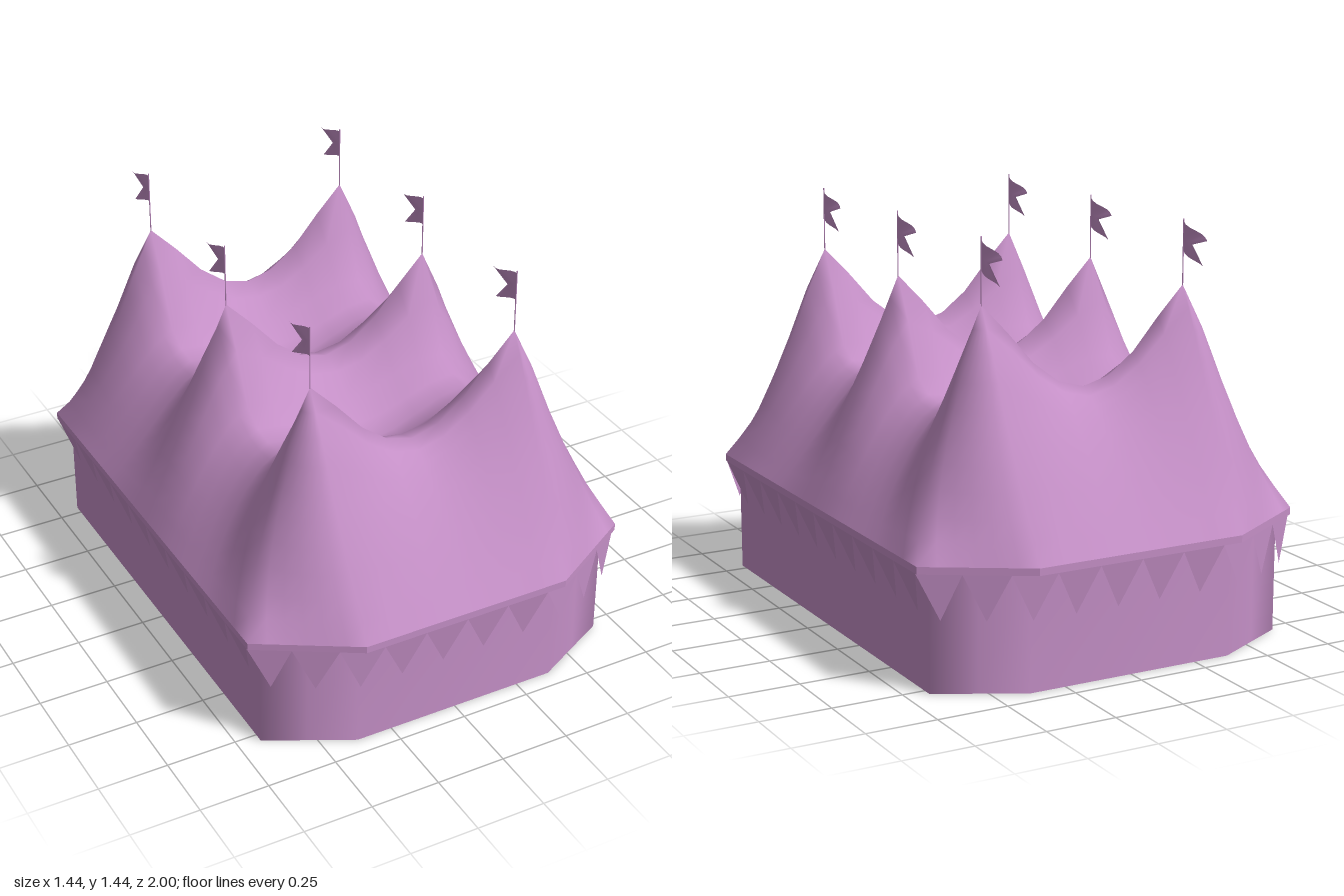
import * as THREE from 'three';
import { mergeVertices } from 'three/addons/utils/BufferGeometryUtils.js';

const PX = 0.385, PZ = 0.61;            // pole positions
const EAVE = 0.44, HEM = 0.415, PEAK = 1.22;
const fabric = new THREE.MeshStandardMaterial({ color: 0xc48fc6, side: THREE.DoubleSide });
const { lerp, clamp } = THREE.MathUtils;

// Linear lookup in an evenly spaced table, s in 0..1
function sample(table, s) {
  const f = clamp(s, 0, 1) * (table.length - 1);
  const i = Math.min(Math.floor(f), table.length - 2);
  return lerp(table[i], table[i + 1], f - i);
}
const frac = (y) => (y - EAVE) / (PEAK - EAVE);
const SAG_X = [1.22, 1.12, 1.01, 0.937, 0.91].map(frac);   // pole to middle, across
const SAG_Z = [1.22, 1.07, 0.89, 0.845, 0.835].map(frac);  // pole to middle, lengthwise
const STEEP = [1, 0.81, 0.58, 0.375, 0.175, 0];            // peak to eave
const ROUND = [1, 0.89, 0.71, 0.49, 0.25, 0];              // sagging ridge to eave

// Sharp at the poles, softening to a rounded fold away from them
function sag(table, s, soft) {
  const rounded = lerp(1, table[4], (1 - Math.cos(Math.PI * s)) / 2);
  return lerp(sample(table, s), rounded, soft);
}

// Height of the canvas inside the rectangle of poles
function canvasHeight(x, z) {
  const sx = 1 - Math.abs(x) / PX;
  const sz = Math.min(Math.abs(z), PZ - Math.abs(z)) / (PZ / 2);
  const a = sag(SAG_X, sx, sz), b = sag(SAG_Z, sz, sx);
  return EAVE + (PEAK - EAVE) * (a * b + 0.3 * (1 - a) * (1 - b));
}

// Triangles between successive rows of [x, y, z] points
function loft(rows) {
  const out = [];
  for (let r = 0; r < rows.length - 1; r++) {
    const lo = rows[r], hi = rows[r + 1];
    for (let i = 0; i < lo.length - 1; i++) {
      out.push(...lo[i], ...lo[i + 1], ...hi[i + 1], ...lo[i], ...hi[i + 1], ...hi[i]);
    }
  }
  return out;
}

function surface(name, positions, smooth) {
  let geo = new THREE.BufferGeometry();
  geo.setAttribute('position', new THREE.Float32BufferAttribute(positions, 3));
  if (smooth) geo = mergeVertices(geo, 1e-4);
  geo.computeVertexNormals();
  const mesh = new THREE.Mesh(geo, fabric);
  mesh.name = name;
  return mesh;
}

// Closed outline from one quarter, running from the front towards +x
function outline(quarter) {
  const back = [...quarter].reverse();
  const pts = [
    ...quarter, ...back.map(([x, z]) => [x, -z]),
    ...quarter.map(([x, z]) => [-x, -z]), ...back.map(([x, z]) => [-x, z]),
  ];
  return [...pts, pts[0]];
}
const at = (pts, y) => pts.map(([x, z]) => [x, y, z]);
const RIM = outline([[PX, 1], [0.72, 0.8]]);

function makeRoof() {
  const xs = Array.from({ length: 9 }, (_, i) => (i - 4) / 4);
  const zs = Array.from({ length: 17 }, (_, i) => (8 - i) / 8);
  // Sagging middle between the poles
  const middle = zs.map((v) => xs.map((u) => [u * PX, canvasHeight(u * PX, v * PZ), v * PZ]));

  // Spokes from ridge to eave: [ridge x, z, rounded target x, z, eave x, z]
  const spokes = [];
  const corner = (sx, sz, flip) => {
    for (let k = 0; k <= 6; k++) {
      const t = (flip ? 6 - k : k) / 6, angle = t * Math.PI / 2;
      spokes.push([
        sx * PX, sz * PZ,
        sx * (PX + 0.335 * Math.sin(angle)), sz * (PZ + 0.39 * Math.cos(angle)),
        sx * lerp(PX, 0.72, t), sz * lerp(1, 0.8, t),
      ]);
    }
  };
  const end = (s) => xs.forEach((u) => {
    spokes.push([s * u * PX, s * PZ, s * u * PX, s, s * u * PX, s]);
  });
  const side = (s) => zs.forEach((v) => {
    spokes.push([s * PX, s * v * PZ, s * 0.72, s * v * PZ, s * 0.72, s * v * 0.8]);
  });
  end(1); corner(1, 1, false); side(1); corner(1, -1, true);
  end(-1); corner(-1, -1, false); side(-1); corner(-1, 1, true);
  spokes.push(spokes[0]);

  // Sloping skirt from the eave up to the ridge, rounded corners easing into the eave
  const skirt = [];
  for (let k = 10; k >= 0; k--) {
    const t = k / 10;
    skirt.push(spokes.map(([x, z, rx, rz, ex, ez]) => {
      const h = canvasHeight(x, z);
      const soft = clamp((1 - frac(h)) / 0.4, 0, 1);
      const slope = lerp(sample(STEEP, t), sample(ROUND, t), soft);
      return [
        lerp(x, lerp(rx, ex, t * t), t),
        EAVE + (h - EAVE) * slope,
        lerp(z, lerp(rz, ez, t * t), t),
      ];
    }));
  }
  const roof = surface('roofCanvas', [...loft(middle), ...loft(skirt)], true);

  // Peak tips face straight up
  const { position, normal } = roof.geometry.attributes;
  for (let i = 0; i < position.count; i++) {
    if (position.getY(i) > PEAK - 0.001) normal.setXYZ(i, 0, 1, 0);
  }
  return roof;
}

// Triangular bunting evenly spaced along the rim, hanging slightly inwards
function makeBunting() {
  const path = new THREE.CurvePath();
  const start = [[0, 1], ...RIM.slice(0, -1), [0, 1]].map(([x, z]) => new THREE.Vector2(x, z));
  for (let i = 0; i < start.length - 1; i++) path.add(new THREE.LineCurve(start[i], start[i + 1]));
  const inset = (v, from, to, d) => v - Math.sign(v) * d * clamp((Math.abs(v) - from) / (to - from), 0, 1);
  const count = 40, out = [];
  for (let i = 0; i < count; i++) {
    const a = path.getPoint(i / count), b = path.getPoint((i + 1) / count);
    const tip = path.getPoint((i + 0.5) / count);
    out.push(
      a.x, HEM, a.y,
      inset(tip.x, 0.65, 0.72, 0.048), 0.26, inset(tip.y, 0.9, 1, 0.022),
      b.x, HEM, b.y,
    );
  }
  return surface('bunting', out, false);
}

// Pole with a wavy swallow-tailed flag trailing to the back
function makeFlag() {
  const group = new THREE.Group();
  const pole = new THREE.Mesh(new THREE.CylinderGeometry(0.002, 0.002, 0.265, 6), fabric);
  pole.name = 'flagPole';
  pole.position.y = 1.3125;
  const wave = (d) => 0.008 * Math.sin(d * 45);
  const upper = [], lower = [];
  for (let i = 0; i <= 6; i++) {
    const t = i / 6, notch = 0.06 * t;
    const du = 0.15 * t, dl = 0.11 * t;
    upper.push([[wave(notch), 1.39 - 0.025 * t, -notch], [wave(du), 1.435 - 0.045 * t, -du]]);
    lower.push([[wave(dl), 1.335 - 0.037 * t, -dl], [wave(notch), 1.39 - 0.025 * t, -notch]]);
  }
  group.add(pole, surface('flag', [...loft(upper), ...loft(lower)], true));
  return group;
}

export function createModel() {
  const tent = new THREE.Group();
  tent.name = 'tent';
  const wall = outline([[0.38, 0.935], [0.53, 0.857], [0.67, 0.785]]);
  tent.add(
    makeRoof(),
    surface('wall', loft([at(wall, 0), at(wall, 0.47)]), true),
    surface('eaveBand', loft([at(RIM, HEM), at(RIM, EAVE)]), false),
    makeBunting(),
  );
  // Six flags, one on each peak
  for (const x of [-PX, PX]) {
    for (const z of [-PZ, 0, PZ]) {
      const flag = makeFlag();
      flag.name = 'peakFlag';
      flag.position.set(x, 0, z);
      tent.add(flag);
    }
  }
  return tent;
}
